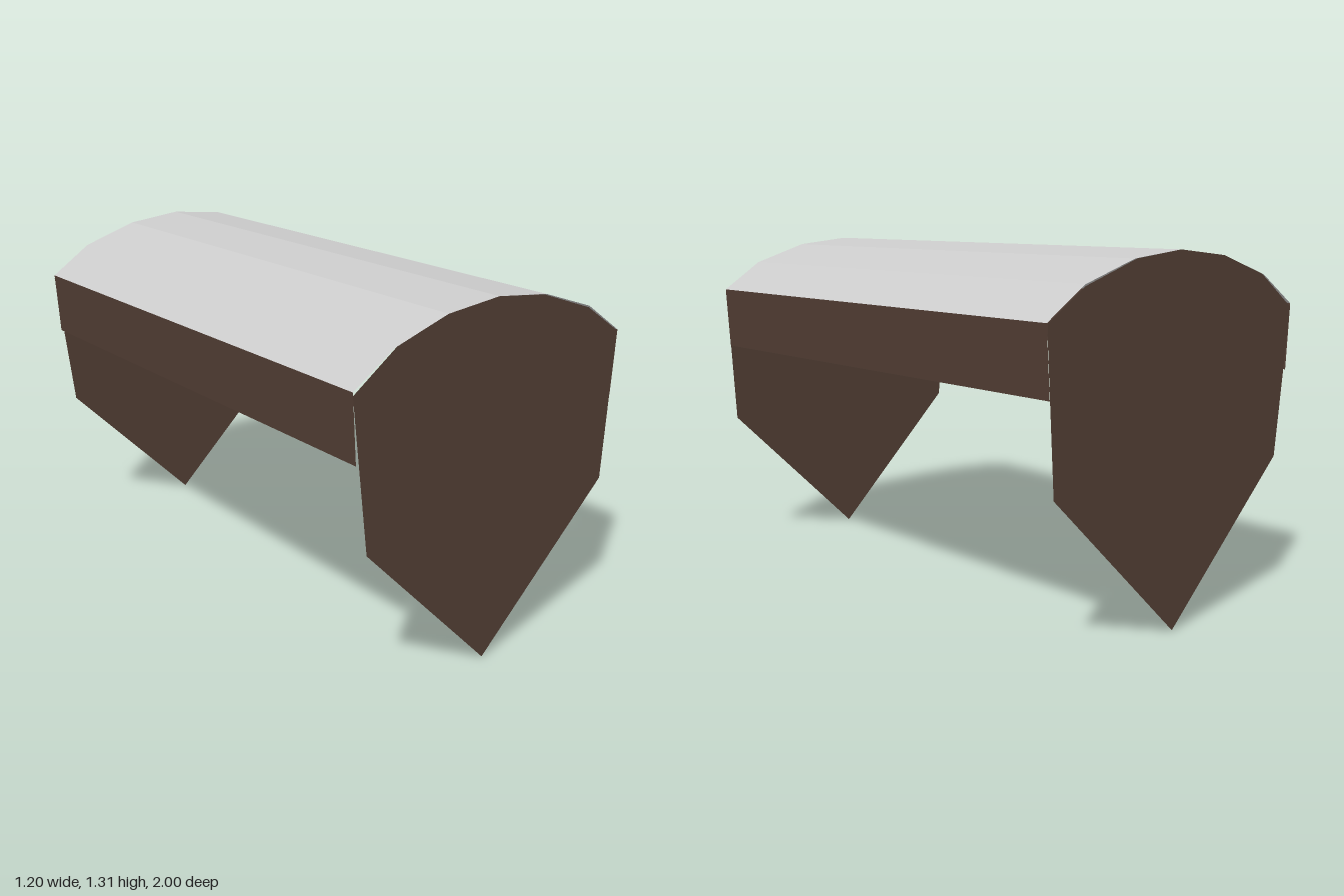
import * as THREE from 'three';

export function createModel() {
  const group = new THREE.Group();
  const roofMaterial = new THREE.MeshStandardMaterial({ color: 0xcccccc, side: THREE.DoubleSide, flatShading: true });
  const woodMaterial = new THREE.MeshStandardMaterial({ color: 0x523e34, side: THREE.DoubleSide, flatShading: true });

  function add(name, geometry, material) {
    const mesh = new THREE.Mesh(geometry, material);
    mesh.name = name;
    group.add(mesh);
    return mesh;
  }

  // Thin sheet: a profile in x, y swept straight along z
  function sheet(profile) {
    const geometry = new THREE.PlaneGeometry(1, 2, profile.length - 1, 1);
    const position = geometry.attributes.position;
    for (let i = 0; i < position.count; i++) {
      const [x, y] = profile[i % profile.length];
      position.setXYZ(i, x, y, i < profile.length ? -1 : 1);
    }
    geometry.computeVertexNormals();
    return geometry;
  }

  // Faceted arched roof
  add('roof', sheet([
    [-0.6, 1.1], [-0.44, 1.21], [-0.22, 1.283], [0, 1.307],
    [0.22, 1.283], [0.44, 1.21], [0.6, 1.1],
  ]), roofMaterial);

  // Hanging side strips, leaning slightly inward
  for (const [name, s] of [['leftValance', 1], ['rightValance', -1]]) {
    add(name, sheet([[s * 0.6, 1.1], [s * 0.585, 0.86]]), woodMaterial);
  }

  // Pointed end panels, slightly uneven
  const outline = [
    [0, 0], [0.565, 0.545], [0.598, 1.097], [0.437, 1.205], [0.21, 1.283],
    [0, 1.307], [-0.22, 1.283], [-0.43, 1.213], [-0.6, 1.088], [-0.537, 0.545],
  ].map(([x, y]) => new THREE.Vector2(x, y));
  for (const [name, z] of [['frontPanel', 1], ['backPanel', -1]]) {
    add(name, new THREE.ShapeGeometry(new THREE.Shape(outline)), woodMaterial).position.z = z;
  }

  return group;
}
